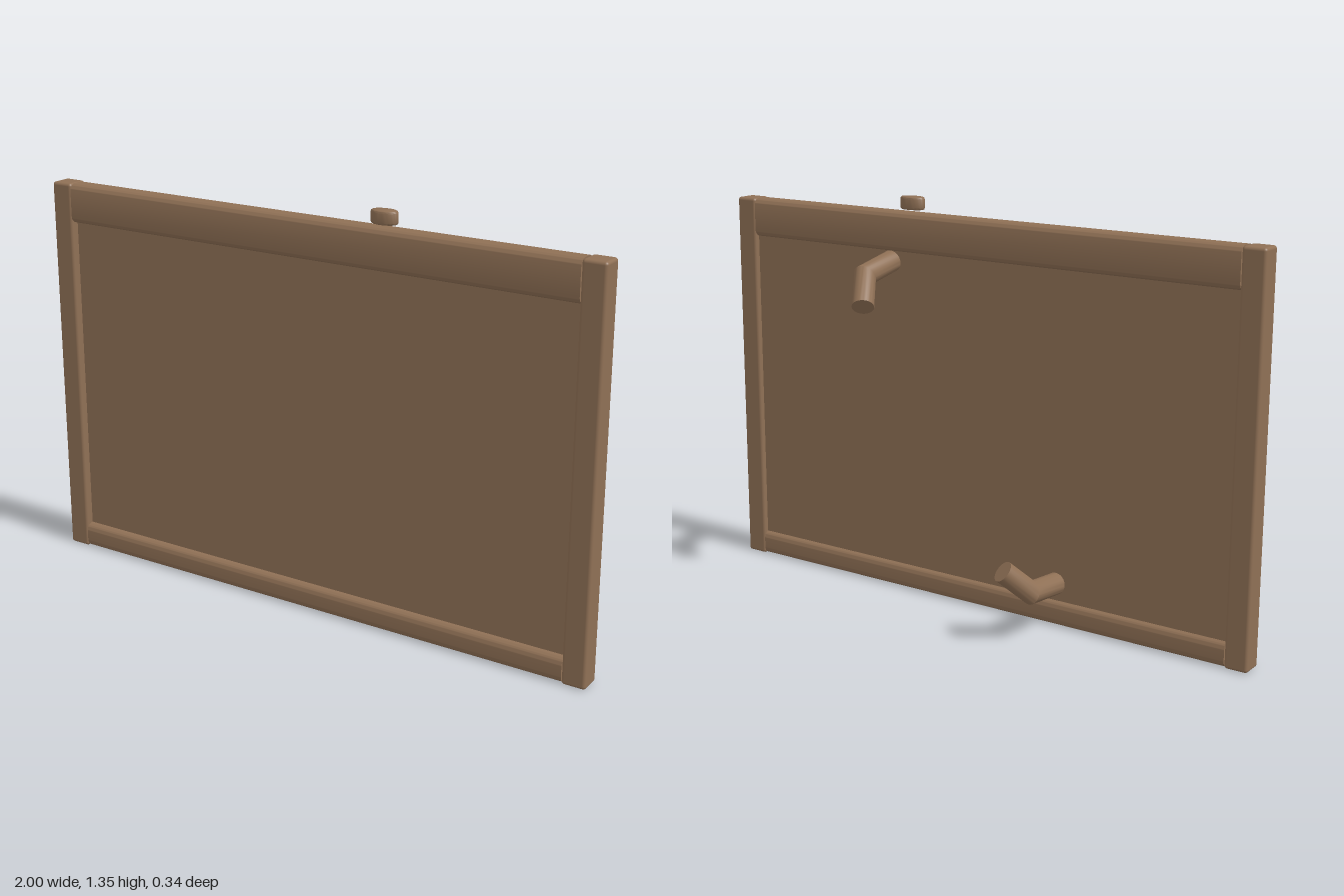
import * as THREE from 'three';
import { toCreasedNormals } from 'three/addons/utils/BufferGeometryUtils.js';
import { RoundedBoxGeometry } from 'three/addons/geometries/RoundedBoxGeometry.js';

const DEPTH = 0.075, MID_Z = 0.125, HEIGHT = 1.297;

// Horizontal rail: rounded rectangle section swept along x
function railGeometry(length, height, r) {
  const a = DEPTH / 2, b = height / 2;
  const s = new THREE.Shape();
  s.moveTo(-a + r, -b);
  s.lineTo(a - r, -b);
  s.absarc(a - r, -b + r, r, -Math.PI / 2, 0);
  s.lineTo(a, b - r);
  s.absarc(a - r, b - r, r, 0, Math.PI / 2);
  s.lineTo(-a + r, b);
  s.absarc(-a + r, b - r, r, Math.PI / 2, Math.PI);
  s.lineTo(-a, -b + r);
  s.absarc(-a + r, -b + r, r, Math.PI, Math.PI * 1.5);
  const g = new THREE.ExtrudeGeometry(s, { depth: length, bevelEnabled: false, curveSegments: 6 });
  g.translate(0, 0, -length / 2);
  g.rotateY(Math.PI / 2);
  return toCreasedNormals(g, 0.6);
}

// Bent round bar: two straight runs meeting at a mitre, capped at both ends
function bentBarGeometry(points, radius, sides = 32) {
  const [p0, p1, p2] = points.map(p => new THREE.Vector3(...p));
  const d1 = p1.clone().sub(p0).normalize();
  const d2 = p2.clone().sub(p1).normalize();
  const mitre = d1.clone().add(d2).normalize();
  const turn = new THREE.Quaternion().setFromUnitVectors(d1, d2);
  const u = new THREE.Vector3(0, 1, 0).cross(d1).normalize();
  const v = d1.clone().cross(u);
  const rings = [[], [], []];
  for (let i = 0; i < sides; i++) {
    const t = i / sides * Math.PI * 2;
    const o = u.clone().multiplyScalar(Math.cos(t) * radius).addScaledVector(v, Math.sin(t) * radius);
    rings[0].push(p0.clone().add(o));
    rings[1].push(p1.clone().add(o).addScaledVector(d1, -o.dot(mitre) / d1.dot(mitre)));
    rings[2].push(p2.clone().add(o.clone().applyQuaternion(turn)));
  }
  const pos = [];
  const tri = (...c) => c.forEach(p => pos.push(p.x, p.y, p.z));
  for (let i = 0; i < sides; i++) {
    const j = (i + 1) % sides;
    for (let k = 0; k < 2; k++) {
      const a = rings[k], b = rings[k + 1];
      tri(a[i], a[j], b[j]);
      tri(a[i], b[j], b[i]);
    }
    tri(p0, rings[0][j], rings[0][i]);
    tri(p2, rings[2][i], rings[2][j]);
  }
  const g = new THREE.BufferGeometry();
  g.setAttribute('position', new THREE.Float32BufferAttribute(pos, 3));
  return toCreasedNormals(g, 0.5);
}

export function createModel() {
  const model = new THREE.Group();
  model.name = 'framedBoard';
  const brown = new THREE.MeshStandardMaterial({ color: 0x8f7055 });
  brown.name = 'brown';

  const add = (name, geometry, x, y, z) => {
    const mesh = new THREE.Mesh(geometry, brown);
    mesh.name = name;
    mesh.position.set(x, y, z);
    model.add(mesh);
    return mesh;
  };

  // Upright posts
  for (const [name, side] of [['leftPost', 1], ['rightPost', -1]]) {
    add(name, new RoundedBoxGeometry(0.078, HEIGHT, DEPTH, 4, 0.01), side * 0.961, HEIGHT / 2, MID_Z);
  }

  // Rails and the recessed panel between them
  add('topRail', railGeometry(1.844, 0.132, 0.024), 0, HEIGHT - 0.066, MID_Z);
  add('bottomRail', railGeometry(1.844, 0.083, 0.024), 0, 0.0415, MID_Z);
  add('panel', new THREE.BoxGeometry(1.844, 1.14, 0.03), 0, 0.622, 0.12);

  // Oval button above the top rail
  const profile = [[0, 0], [0.04, 0], [0.0435, 0.002], [0.045, 0.006],
    [0.045, 0.035], [0.0435, 0.039], [0.04, 0.041], [0, 0.041]]
    .map(([x, y]) => new THREE.Vector2(x, y));
  const button = add('topButton', toCreasedNormals(new THREE.LatheGeometry(profile, 40), 0.75), 0.27, 1.306, MID_Z);
  button.scale.z = 0.6;

  // Bent hooks behind the panel
  add('upperHook', bentBarGeometry(
    [[0.32, 1.138, 0.075], [0.32, 1.11, -0.068], [0.268, 1.025, -0.147]], 0.036), 0, 0, 0);
  add('lowerHook', bentBarGeometry(
    [[-0.325, 0.151, 0.076], [-0.325, 0.165, -0.068], [-0.27, 0.247, -0.147]], 0.036), 0, 0, 0);

  return model;
}
